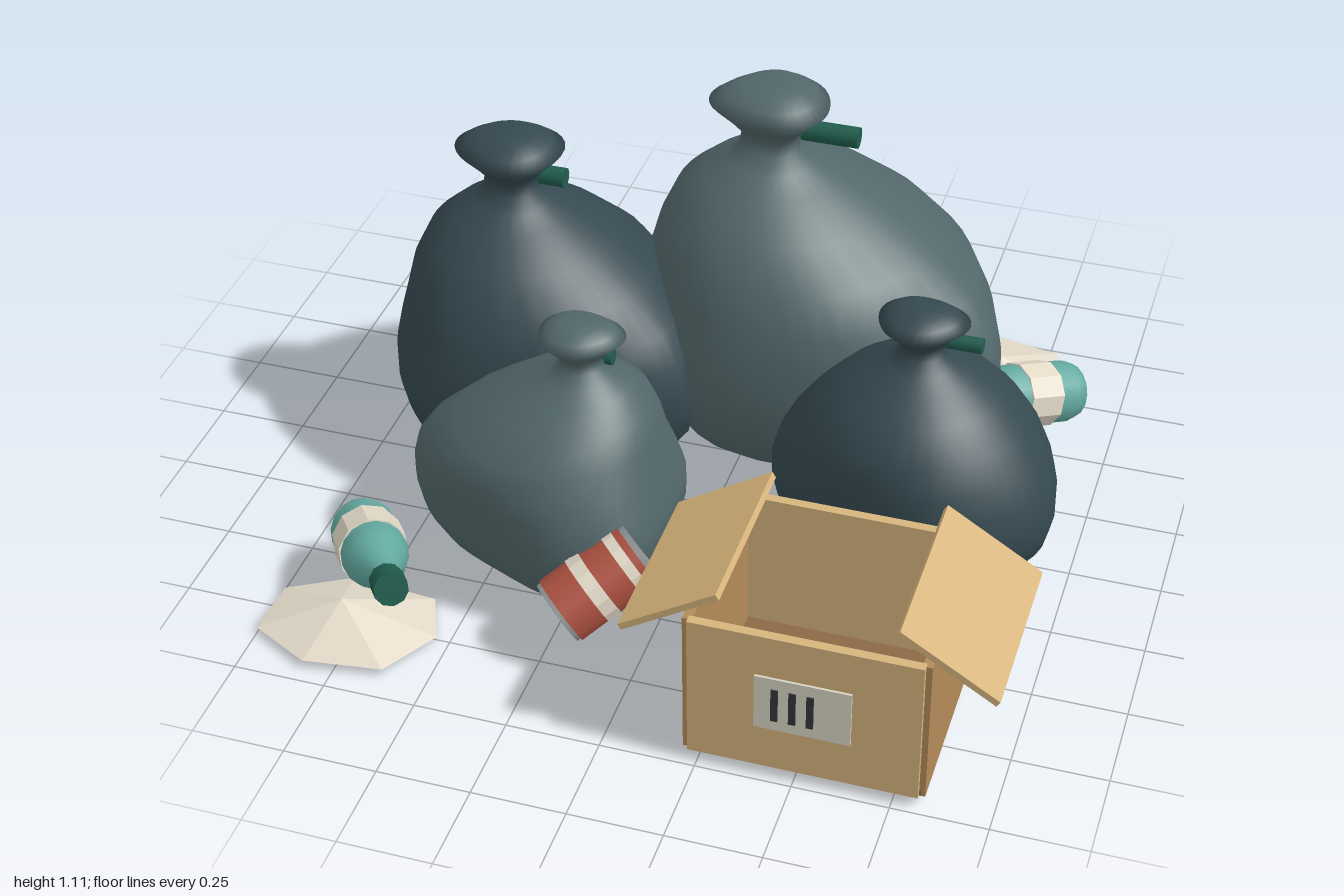
import * as THREE from 'three';

const mat = (color, flatShading = false) =>
  new THREE.MeshStandardMaterial({ color, flatShading, side: THREE.DoubleSide });
const lightBag = mat(0x52676a), darkBag = mat(0x354950), tieMat = mat(0x1f5c4c);
const teal = mat(0x63a9a1), cream = mat(0xe2d9c7, true), red = mat(0xac5140), grey = mat(0x8f9494);
const card = mat(0xd6b47c), cardSide = mat(0xb38a58), cardFloor = mat(0x8a6845);
const ink = mat(0x333638), labelMat = mat(0xd8d4c4);

function add(parent, name, geometry, material, x = 0, y = 0, z = 0) {
  const mesh = new THREE.Mesh(geometry, material);
  mesh.name = name;
  mesh.position.set(x, y, z);
  parent.add(mesh);
  return mesh;
}

// Group whose local +y runs from one point towards another
function along(name, from, to) {
  const g = new THREE.Group();
  g.name = name;
  const a = new THREE.Vector3(...from), d = new THREE.Vector3(...to).sub(a).normalize();
  g.position.copy(a);
  g.quaternion.setFromUnitVectors(new THREE.Vector3(0, 1, 0), d);
  return g;
}

// Bag section rules: height fraction, share of the body outline
const BODY = [[0.02, 0.3], [0.025, 0.54], [0.055, 0.67], [0.12, 0.84], [0.2, 0.96], [0.28, 1], [0.36, 1],
  [0.44, 0.97], [0.52, 0.91], [0.61, 0.79], [0.70, 0.6], [0.765, 0.39], [0.80, 0.25]];
// Height fraction, share of the flare radius
const NECK = [[0.835, 0.52], [0.87, 0.48], [0.91, 0.72], [0.95, 1], [0.975, 0.78], [1, 0.5]];

function bagGeometry({ outline, neck, height, flare }) {
  const N = 40, pos = [], index = [];
  const curve = new THREE.CatmullRomCurve3(
    outline.map(([x, z]) => new THREE.Vector3(x, 0, z)), true);
  const ring = Array.from({ length: N }, (_, i) => curve.getPoint(i / N));
  const mid = new THREE.Box3().setFromPoints(ring).getCenter(new THREE.Vector3());
  const mean = ring.reduce((sum, p) => sum + p.distanceTo(mid), 0) / N;
  const top = new THREE.Vector3(neck[0], 0, neck[1]);
  const row = (f, y) => ring.forEach((p) => { const q = f(p); pos.push(q.x, y, q.z); });
  // rounded base, then a body that turns circular and leans to the neck
  row(() => mid, 0.018);
  for (const [h, s] of BODY) {
    const c = mid.clone().lerp(top, THREE.MathUtils.smoothstep(h, 0.45, 0.8));
    const round = THREE.MathUtils.smoothstep(h, 0.33, 0.68);
    row((p) => {
      const d = p.clone().sub(mid);
      return d.lerp(d.clone().setLength(mean), round).multiplyScalar(s).add(c);
    }, h * height);
  }
  // gathered neck and flared mouth
  for (const [h, s] of NECK) {
    row((p) => {
      const d = p.clone().sub(mid), a = Math.atan2(d.z, d.x);
      const r = flare * s * (1 + 0.05 * Math.cos(3 * a + height * 9));
      return new THREE.Vector3(Math.cos(a) * r, 0, Math.sin(a) * r * 0.9).add(top);
    }, h * height);
  }
  row(() => top, height * 0.995);
  const rows = pos.length / 3 / N;
  for (let j = 0; j < rows - 1; j++) {
    for (let i = 0; i < N; i++) {
      const a = j * N + i, b = j * N + (i + 1) % N;
      index.push(a, a + N, b, b, a + N, b + N);
    }
  }
  const g = new THREE.BufferGeometry();
  g.setAttribute('position', new THREE.Float32BufferAttribute(pos, 3));
  g.setIndex(index);
  g.computeVertexNormals();
  return g;
}

// tie: start x, end x, y, z, radius
const BAGS = [
  { name: 'largeBag', material: lightBag, neck: [0.025, -0.445], height: 1.12, flare: 0.165,
    tie: [0.0, 0.26, 0.97, -0.48, 0.03],
    outline: [[-0.38, -0.45], [-0.25, -0.69], [-0.1, -0.87], [0.16, -0.93], [0.4, -0.875], [0.58, -0.68],
      [0.68, -0.48], [0.7, -0.31], [0.43, -0.1], [0.21, -0.02], [-0.09, -0.04], [-0.3, -0.27]] },
  { name: 'leftRearBag', material: darkBag, neck: [-0.635, -0.185], height: 1.0, flare: 0.15,
    tie: [-0.72, -0.49, 0.865, -0.215, 0.028],
    outline: [[-0.98, -0.21], [-0.95, -0.4], [-0.8, -0.57], [-0.5, -0.58], [-0.34, -0.53], [-0.2, -0.33],
      [-0.08, -0.06], [-0.18, 0.06], [-0.4, 0.15], [-0.72, 0.21], [-0.88, 0.08], [-0.95, -0.05]] },
  { name: 'frontBag', material: lightBag, neck: [-0.27, 0.31], height: 0.785, flare: 0.115,
    tie: [-0.3, -0.19, 0.67, 0.28, 0.022],
    outline: [[-0.755, 0.3], [-0.69, 0.18], [-0.45, 0.04], [-0.15, 0.05], [-0.03, 0.17], [-0.015, 0.41],
      [-0.06, 0.57], [-0.24, 0.64], [-0.45, 0.575], [-0.66, 0.46]] },
  { name: 'rightBag', material: darkBag, neck: [0.565, 0.02], height: 0.805, flare: 0.12,
    tie: [0.57, 0.72, 0.69, -0.02, 0.022],
    outline: [[0.175, 0.05], [0.21, -0.13], [0.42, -0.28], [0.7, -0.305], [0.89, -0.16], [0.95, 0.1],
      [0.86, 0.25], [0.68, 0.34], [0.43, 0.27], [0.25, 0.17]] },
];

function bottle(name, from, to) {
  const g = along(name, from, to);
  const profile = [[0, 0], [0.05, 0.003], [0.077, 0.025], [0.088, 0.06], [0.088, 0.26], [0.076, 0.30],
    [0.05, 0.36], [0.037, 0.40], [0.035, 0.46]].map(([r, y]) => new THREE.Vector2(r, y));
  add(g, 'bottleBody', new THREE.LatheGeometry(profile, 16), teal);
  add(g, 'bottleLabel', new THREE.CylinderGeometry(0.094, 0.094, 0.11, 10), cream, 0, 0.175, 0);
  add(g, 'bottleCap', new THREE.CylinderGeometry(0.046, 0.046, 0.07, 10), tieMat, 0, 0.46, 0);
  return g;
}

function can(from, to) {
  const g = along('can', from, to);
  // start, end, radius, material of each band
  const bands = [[0, 0.012, 0.09, grey], [0.012, 0.095, 0.096, red], [0.095, 0.135, 0.099, cream],
    [0.135, 0.205, 0.096, red], [0.205, 0.235, 0.099, cream], [0.235, 0.255, 0.096, red],
    [0.255, 0.27, 0.09, grey]];
  for (const [y0, y1, r, m] of bands)
    add(g, 'canBand', new THREE.CylinderGeometry(r, r, y1 - y0, 14), m, 0, (y0 + y1) / 2, 0);
  return g;
}

// Crumpled sheet: a shallow peak over a tilted rim
function paper(x, z, tilt, rim) {
  const pos = [];
  const pt = ([px, pz]) => [px, 0.018 + tilt * (pz - z), pz];
  rim.forEach((p, i) => {
    const q = rim[(i + 1) % rim.length];
    pos.push(x, 0.1, z, ...pt(q), ...pt(p));
    pos.push(x, 0.06, z, ...pt(p), ...pt(q));
  });
  const g = new THREE.BufferGeometry();
  g.setAttribute('position', new THREE.Float32BufferAttribute(pos, 3));
  g.computeVertexNormals();
  return g;
}

function cardboardBox() {
  const g = new THREE.Group();
  g.name = 'cardboardBox';
  g.position.set(0.52, 0, 0.715);
  const box = (name, w, h, d, x, y, z, m) => add(g, name, new THREE.BoxGeometry(w, h, d), m, x, y, z);
  box('boxFloor', 0.6, 0.02, 0.5, 0, 0.045, 0, cardFloor);
  for (const s of [-1, 1]) {
    box('boxEndWall', 0.59, 0.42, 0.025, 0, 0.248, s * 0.252, card);
    box('boxSideWall', 0.025, 0.42, 0.5, s * 0.298, 0.245, 0, cardSide);
    const flap = box('boxFlap', 0.295, 0.018, 0.495, s * 0.347, 0.46, 0, card);
    flap.rotation.z = -s * 0.56;
  }
  box('boxLabel', 0.245, 0.165, 0.008, 0, 0.253, 0.267, labelMat);
  for (const x of [-0.07, -0.025, 0.02]) box('labelBar', 0.018, 0.1, 0.006, x, 0.253, 0.272, ink);
  return g;
}

export function createModel() {
  const model = new THREE.Group();
  model.name = 'rubbishPile';
  for (const bag of BAGS) {
    add(model, bag.name, bagGeometry(bag), bag.material);
    const [x0, x1, y, z, r] = bag.tie;
    add(model, 'bagTie', new THREE.CylinderGeometry(r, r, x1 - x0, 10), tieMat, (x0 + x1) / 2, y, z)
      .rotation.z = Math.PI / 2;
  }
  model.add(cardboardBox());
  model.add(bottle('frontBottle', [-0.845, 0.145, 0.51], [-0.57, 0.3, 0.92]));
  model.add(bottle('rearBottle', [0.89, 0.17, -0.61], [0.555, 0.3, -0.26]));
  model.add(can([-0.21, 0.15, 0.71], [-0.01, 0.29, 0.53]));
  add(model, 'frontPaper', paper(-0.79, 0.77, 0.06, [[-1, 0.68], [-0.84, 0.58], [-0.6, 0.6], [-0.535, 0.75],
    [-0.62, 0.92], [-0.83, 0.95], [-1, 0.86]]), cream);
  add(model, 'rearPaper', paper(0.63, -0.8, -0.06, [[0.4, -0.88], [0.56, -1], [0.77, -0.96], [0.865, -0.8],
    [0.77, -0.65], [0.62, -0.62], [0.42, -0.72]]), cream);
  return model;
}
